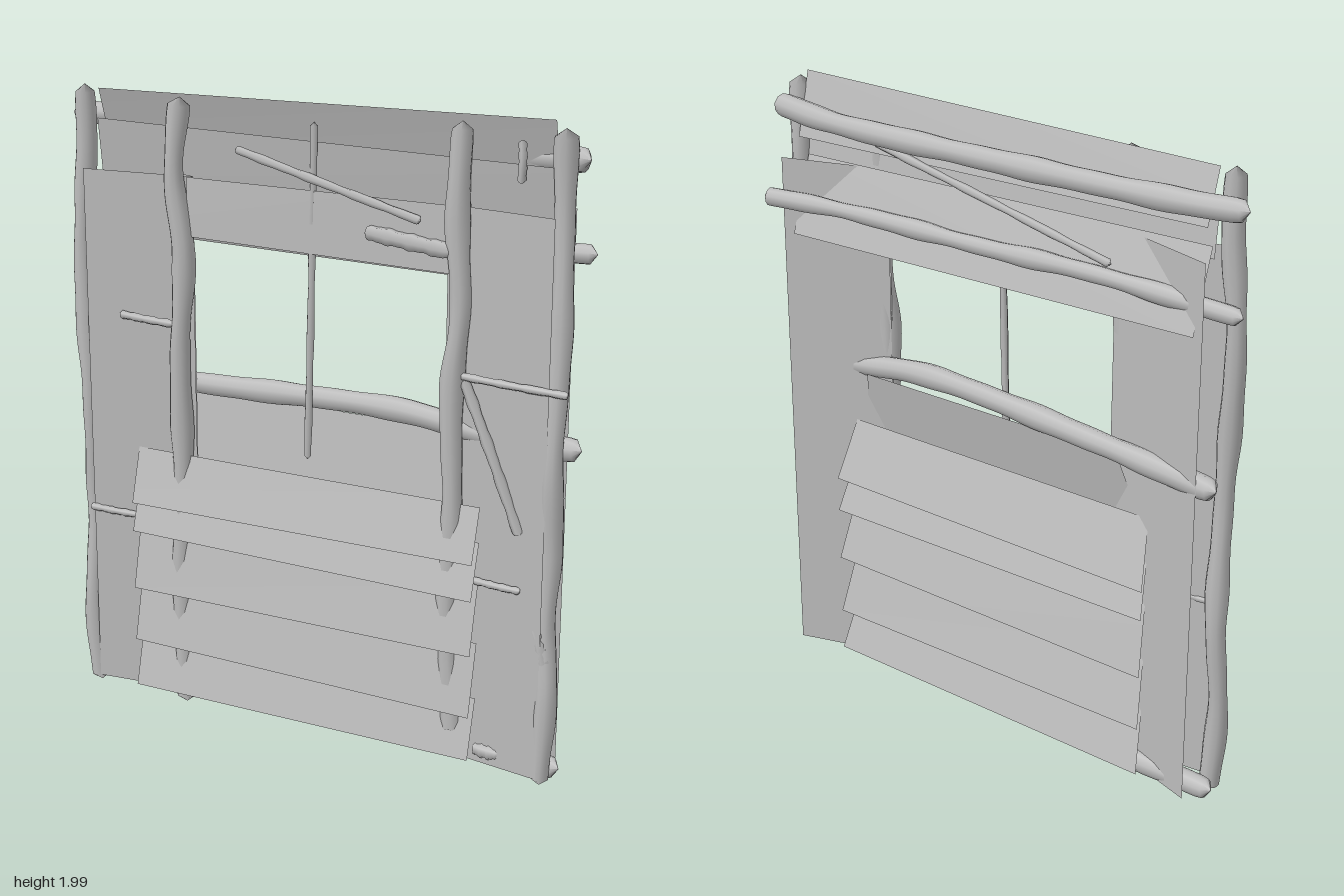
import * as THREE from 'three';

const wood = new THREE.MeshStandardMaterial({ color: 0xbbbbbb, side: THREE.DoubleSide });
wood.name = 'weathered grey';

const add = (group, name, geometry) => {
  const mesh = new THREE.Mesh(geometry, wood);
  mesh.name = name;
  group.add(mesh);
};

// Gnarled round timber along a curve, with rounded, closed ends
function log(group, name, points, radius, knots = 0.1, sides = 10) {
  const curve = new THREE.CatmullRomCurve3(points.map((p) => new THREE.Vector3(...p)));
  const segments = 80;
  const length = curve.getLength();
  const geo = new THREE.TubeGeometry(curve, segments, radius, sides);
  const pos = geo.attributes.position;
  const v = new THREE.Vector3();
  for (let i = 0; i <= segments; i++) {
    const t = i / segments;
    const centre = curve.getPointAt(t);
    const fromEnd = Math.min(1, (Math.min(t, 1 - t) * length) / radius);
    const dome = Math.sqrt(1 - (1 - fromEnd) ** 2);
    const scale = dome * (1 + knots * (Math.sin(t * 23 + points[0][0] * 9) + 0.5 * Math.sin(t * 51)));
    for (let j = 0; j <= sides; j++) {
      const k = i * (sides + 1) + j;
      v.fromBufferAttribute(pos, k).sub(centre).multiplyScalar(scale).add(centre);
      pos.setXYZ(k, v.x, v.y, v.z);
    }
  }
  add(group, name, geo);
}

// Thin flat board given by its corners: bottom left, bottom right, top right, top left
function board(group, name, a, b, c, d) {
  const geo = new THREE.BufferGeometry();
  geo.setAttribute('position', new THREE.Float32BufferAttribute([...a, ...b, ...c, ...d], 3));
  geo.setIndex([0, 1, 2, 0, 2, 3]);
  geo.computeVertexNormals();
  add(group, name, geo);
}

export function createModel() {
  const wall = new THREE.Group();
  wall.name = 'windowWall';

  // Side panels: a front and a back skin that spread apart towards the outer edges
  const sidePanel = (name, x0, z0, x1, z1) =>
    board(wall, name, [x0, 0.04, z0], [x1, 0.04, z1], [x1, 1.74, z1], [x0, 1.74, z0]);
  sidePanel('rightFrontPanel', -0.765, 0.08, -0.4, 0.035);
  sidePanel('leftFrontPanel', 0.45, 0.035, 0.79, 0.08);
  sidePanel('rightBackPanel', -0.77, -0.08, -0.4, 0.03);
  sidePanel('leftBackPanel', 0.45, 0.03, 0.79, -0.08);

  // Boards above the window
  board(wall, 'header', [-0.41, 1.56, 0.06], [0.47, 1.545, 0.06], [0.47, 1.74, 0.05], [-0.41, 1.74, 0.05]);
  board(wall, 'upperBoard', [-0.74, 1.72, 0.01], [0.78, 1.72, 0.01], [0.76, 1.87, 0.03], [-0.74, 1.89, 0.03]);
  board(wall, 'topBoard', [-0.74, 1.82, -0.03], [0.76, 1.8, -0.03], [0.76, 2.0, 0.02], [-0.74, 1.98, 0.02]);
  board(wall, 'backLedge', [-0.74, 1.52, -0.08], [0.75, 1.5, -0.08], [0.75, 1.74, 0.0], [-0.74, 1.76, 0.0]);

  // Overlapping slats under the window, on both faces
  const bottoms = [0.69, 0.585, 0.4, 0.21, 0.06];
  const tops = [0.86, 0.75, 0.62, 0.43, 0.25];
  bottoms.forEach((y, i) => {
    const top = tops[i];
    const skew = i % 2 ? 0.005 : -0.005;
    board(wall, 'frontSlat', [-0.6, y + skew, 0.11], [0.58, y - skew, 0.11], [0.58, top, 0.06], [-0.6, top, 0.06]);
    board(wall, 'backSlat', [0.6, y - skew, -0.08], [-0.6, y + skew, -0.08], [-0.57, top + 0.03, -0.01], [0.57, top + 0.03, -0.01]);
  });
  board(wall, 'sillBoard', [-0.57, 0.7, 0.05], [0.58, 0.7, 0.05], [0.52, 1.06, -0.01], [-0.45, 1.06, -0.01]);

  // Upright poles
  log(wall, 'outerPole', [[-0.79, 1.99, 0.02], [-0.79, 1.8, 0.02], [-0.81, 1.5, 0.03], [-0.785, 1, 0.05],
    [-0.79, 0.6, 0.03], [-0.8, 0.3, 0.05], [-0.78, 0.01, 0.05]], 0.032);
  log(wall, 'outerPole', [[0.79, 1.98, 0.02], [0.79, 1.75, 0.01], [0.8, 1.4, 0.03], [0.8, 1, 0.055],
    [0.8, 0.75, 0.04], [0.79, 0.5, 0.04], [0.805, 0.3, 0.055], [0.79, 0.01, 0.05]], 0.032);
  log(wall, 'windowPole', [[-0.43, 1.98, 0.05], [-0.45, 1.75, 0.06], [-0.42, 1.5, 0.06], [-0.44, 1.2, 0.06],
    [-0.44, 0.8, 0.055], [-0.45, 0.4, 0.055], [-0.44, 0.01, 0.06]], 0.034);
  log(wall, 'windowPole', [[0.49, 1.98, 0.04], [0.485, 1.7, 0.05], [0.5, 1.45, 0.05], [0.48, 1.2, 0.055],
    [0.49, 0.8, 0.055], [0.48, 0.5, 0.055], [0.51, 0.12, 0.06]], 0.034);

  // Cross beams
  log(wall, 'topBeam', [[-0.87, 1.89, -0.03], [-0.7, 1.89, -0.06], [0, 1.88, -0.06], [0.6, 1.88, -0.055], [0.85, 1.89, -0.02]], 0.036, 0.06);
  log(wall, 'headBeam', [[-0.86, 1.585, -0.02], [-0.4, 1.62, -0.06], [0, 1.61, -0.055], [0.55, 1.61, -0.06], [0.85, 1.61, -0.1]], 0.028);
  log(wall, 'sillBeam', [[-0.82, 1.065, -0.05], [-0.4, 1.08, -0.01], [0.3, 1.105, 0.02], [0.6, 1.07, 0.02], [0.87, 1.065, 0.015]], 0.036, 0.06);
  log(wall, 'bottomBeam', [[-0.84, 0.07, -0.03], [-0.4, 0.06, -0.01], [0.3, 0.07, 0.01], [0.84, 0.06, 0.02]], 0.034, 0.06);

  // Thin sticks and branches: start, end, radius
  const sticks = [
    [[0.02, 1.94, 0.04], [0, 0.91, 0.045], 0.012],
    [[0.67, 1.94, 0.04], [0.67, 1.82, 0.04], 0.012],
    [[-0.24, 1.84, 0.05], [0.38, 1.69, 0.07], 0.013],
    [[0.45, 1.84, -0.03], [-0.45, 1.66, -0.06], 0.012],
    [[0.2, 1.64, 0.06], [0.48, 1.61, 0.06], 0.025],
    [[-0.65, 1.29, 0.07], [-0.45, 1.285, 0.08], 0.013],
    [[0.5, 1.25, 0.06], [0.85, 1.245, 0.085], 0.012],
    [[0.52, 1.24, 0.06], [0.71, 0.8, 0.07], 0.016],
    [[-0.78, 0.635, 0.08], [-0.58, 0.63, 0.065], 0.012],
    [[0.56, 0.63, 0.06], [0.72, 0.63, 0.075], 0.012],
    [[0.57, 0.08, 0.04], [0.66, 0.08, 0.05], 0.026],
    [[0.75, 0.55, 0.05], [0.8, 0.4, 0.06], 0.022],
  ];
  for (const [a, b, r] of sticks) {
    const mid = a.map((n, i) => (n + b[i]) / 2 + (i === 1 ? 0 : 0.004));
    log(wall, 'stick', [a, mid, b], r, 0.08, 6);
  }
  return wall;
}
